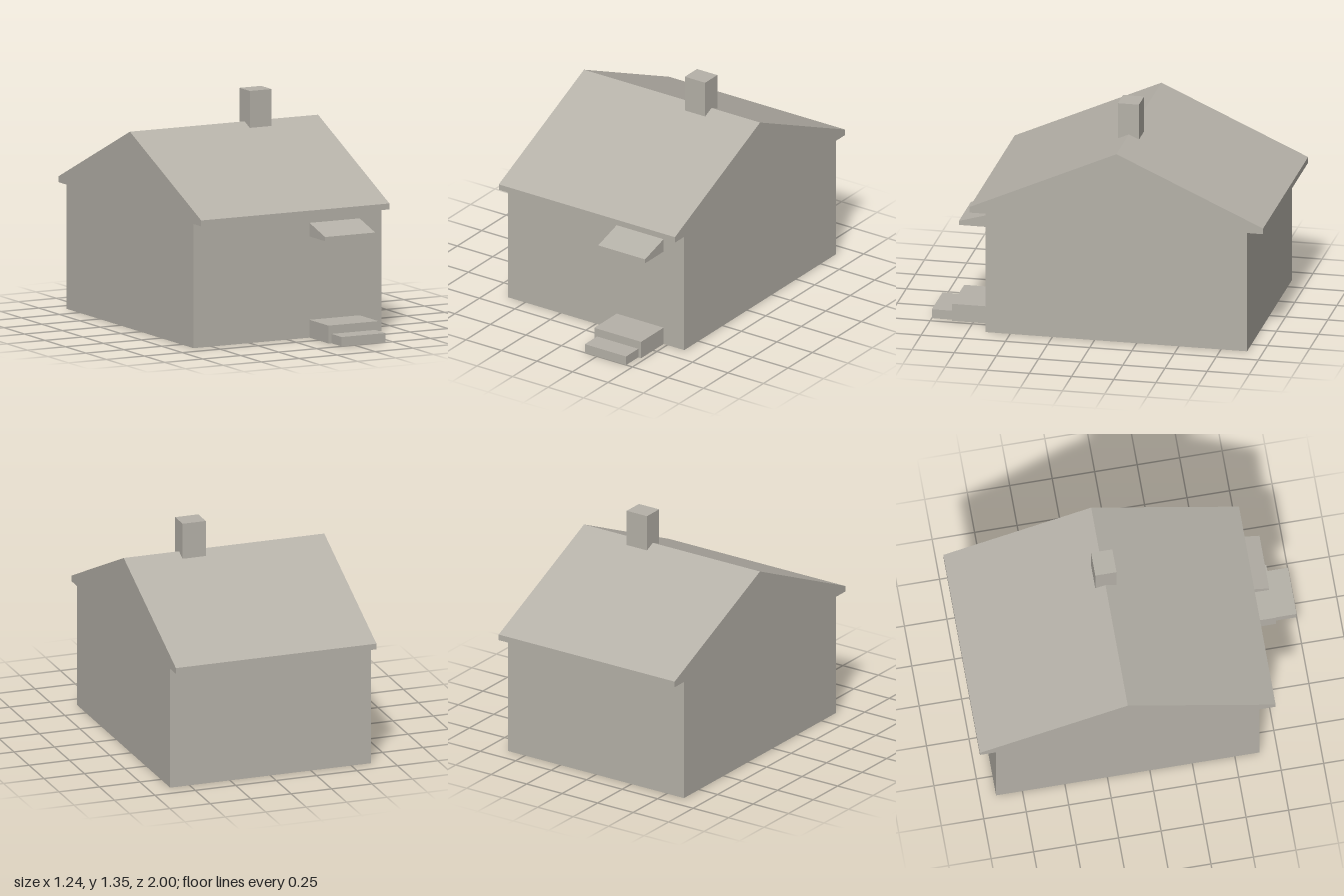
import * as THREE from 'three';

const stone = new THREE.MeshStandardMaterial({ color: 0xb5b1a8, side: THREE.DoubleSide });
stone.name = 'warm grey';

function mesh(name, geometry) {
  const m = new THREE.Mesh(geometry, stone);
  m.name = name;
  return m;
}

// Thin shell: an open [z, y] profile swept from x0 to x1, with both ends capped.
// capExtra closes the end outline where the swept profile stays open.
function shell(name, x0, x1, profile, capExtra = []) {
  const group = new THREE.Group();
  group.name = name;
  const pos = [];
  for (let i = 0; i < profile.length - 1; i++) {
    const [pz, py] = profile[i], [qz, qy] = profile[i + 1];
    const a = [x0, py, pz], b = [x1, py, pz], c = [x1, qy, qz], d = [x0, qy, qz];
    pos.push(...a, ...b, ...c, ...a, ...c, ...d);
  }
  const strip = new THREE.BufferGeometry();
  strip.setAttribute('position', new THREE.Float32BufferAttribute(pos, 3));
  strip.computeVertexNormals();
  group.add(mesh(name + 'Surface', strip));

  const outline = [...profile, ...capExtra];
  for (const side of [1, -1]) {
    const shape = new THREE.Shape(outline.map(([z, y]) => new THREE.Vector2(-side * z, y)));
    const cap = new THREE.ShapeGeometry(shape);
    cap.rotateY(side * Math.PI / 2).translate(side > 0 ? x1 : x0, 0, 0);
    group.add(mesh(name + (side > 0 ? 'LeftEnd' : 'RightEnd'), cap));
  }
  return group;
}

// Upright panel facing +z with a notch cut from its bottom edge
function notchedPanel(name, x0, x1, height, n0, n1, notchHeight, z) {
  const shape = new THREE.Shape([
    [x0, 0], [n0, 0], [n0, notchHeight], [n1, notchHeight],
    [n1, 0], [x1, 0], [x1, height], [x0, height],
  ].map(([x, y]) => new THREE.Vector2(x, y)));
  return mesh(name, new THREE.ShapeGeometry(shape).translate(0, 0, z));
}

export function createModel() {
  const house = new THREE.Group();
  house.name = 'house';

  const half = 0.62, front = 0.645, back = -0.905, wallTop = 0.73;
  const stepFront = 0.875, stepTop = 0.105, lowTop = 0.055;
  const porch = [0.145, 0.475], low = [0.165, 0.455];

  // Roof, eaves, back wall and gable ends; open underneath
  house.add(shell('roofAndWalls', -half, half, [
    [front, wallTop], [0.74, wallTop], [0.74, 0.765], [-0.13, 1.157],
    [-1, 0.765], [-1, wallTop], [back, wallTop], [back, 0],
  ], [[front, 0]]));

  // Front wall, open behind the steps
  house.add(notchedPanel('frontWall', -half, half, wallTop, ...porch, stepTop, front));

  // Two hollow entrance steps
  house.add(shell('upperStep', ...porch, [[stepFront, stepTop], [front, stepTop]],
    [[front, 0], [stepFront, 0]]));
  house.add(notchedPanel('upperRiser', ...porch, stepTop, ...low, lowTop, stepFront));
  house.add(shell('lowerStep', ...low, [[1, 0], [1, lowTop], [stepFront, lowTop]],
    [[stepFront, 0]]));

  // Sloping canopy over the entrance
  house.add(shell('canopy', ...porch, [
    [front, 0.595], [0.835, 0.595], [0.835, 0.62], [front, 0.675],
  ]));

  // Chimney straddling the ridge
  house.add(shell('chimney', 0.135, 0.278, [
    [-0.065, 1.128], [-0.065, 1.345], [-0.19, 1.345], [-0.19, 1.13],
  ], [[-0.13, 1.157]]));

  return house;
}
